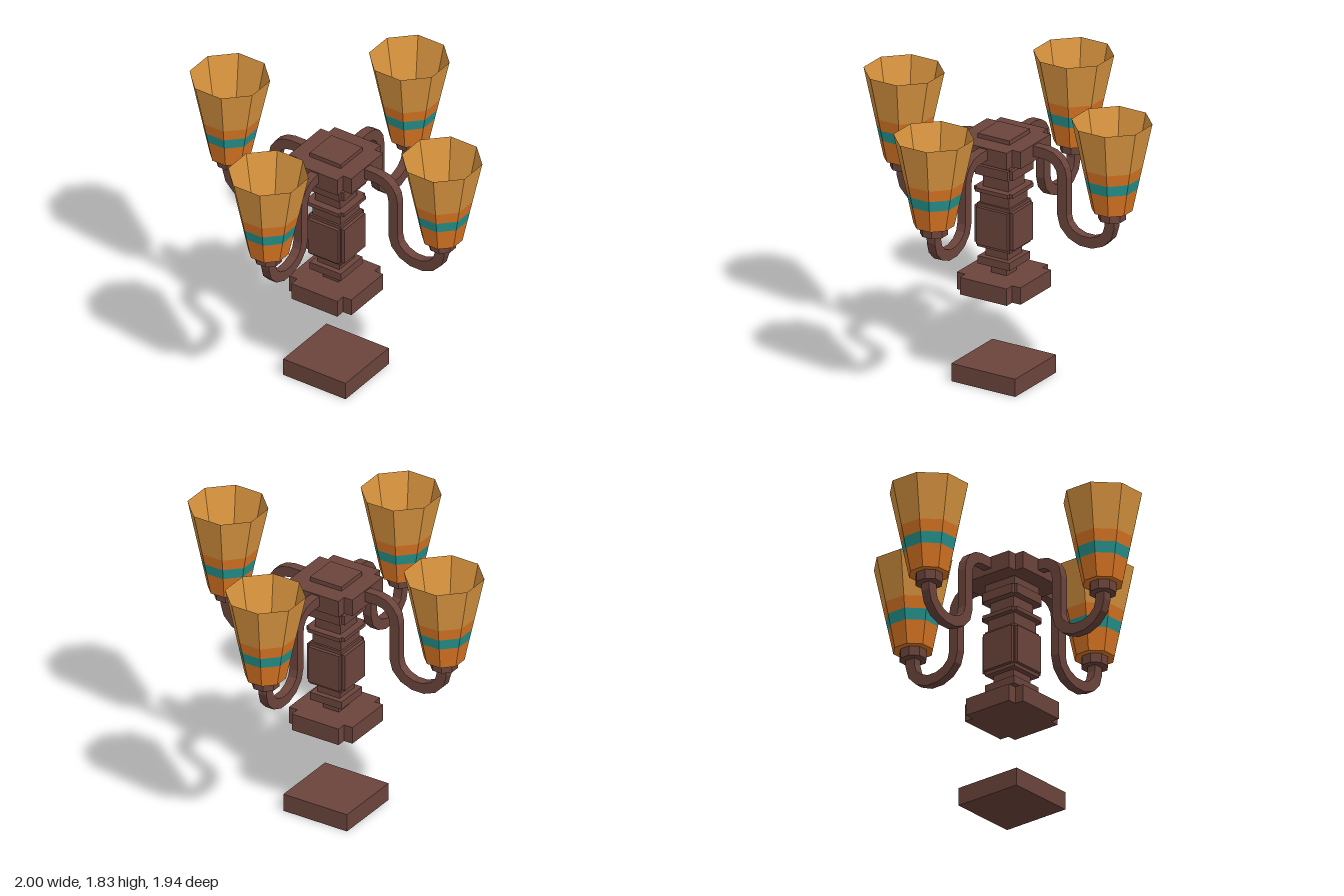
import * as THREE from 'three';

const mat = (name, color) => {
  const m = new THREE.MeshStandardMaterial({ color, flatShading: true, side: THREE.DoubleSide });
  m.name = name;
  return m;
};

export function createModel() {
  const wood = mat('dark brown', 0x6b443c);
  const tan = mat('tan glass', 0xdb9640);
  const orange = mat('orange glass', 0xde7824);
  const teal = mat('teal glass', 0x269690);
  const pale = mat('pale bulb', 0xe0e5da);

  const model = new THREE.Group();
  model.name = 'fourArmLamp';

  const add = (parent, name, geometry, material) => {
    const mesh = new THREE.Mesh(geometry, material);
    mesh.name = name;
    parent.add(mesh);
    return mesh;
  };

  // Square column, stacked from blocks; a second half-width gives notched corners
  const column = new THREE.Group();
  column.name = 'column';
  column.position.z = 0.03;
  model.add(column);
  const block = (name, y0, y1, half, notch) => {
    const sizes = notch ? [[half, notch], [notch, half]] : [[half, half]];
    for (const [hx, hz] of sizes) {
      add(column, name, new THREE.BoxGeometry(2 * hx, y1 - y0, 2 * hz), wood).position.y = (y0 + y1) / 2;
    }
  };
  block('floorPlate', 0, 0.115, 0.227);
  block('foot', 0.577, 0.687, 0.227, 0.167);
  block('footNeck', 0.687, 0.75, 0.056);
  block('lowerCollar', 0.75, 0.8, 0.113);
  block('lowerNeck', 0.8, 0.863, 0.079);
  block('bodyCore', 0.863, 1.147, 0.115);
  block('bodyPanels', 0.885, 1.126, 0.137, 0.11);
  block('upperNeck', 1.147, 1.225, 0.102);
  block('middleCollar', 1.225, 1.25, 0.137, 0.115);
  block('topNeck', 1.25, 1.34, 0.09);
  block('topCollar', 1.34, 1.4, 0.137, 0.115);
  block('hubNeck', 1.4, 1.457, 0.115);
  block('hub', 1.457, 1.567, 0.227, 0.167);
  block('hubCap', 1.567, 1.595, 0.113);

  // S-shaped arm centreline: hub, shoulder, drop, U-bend, rise to holder
  const path = [[0.15, 1.525]];
  for (let i = 0; i <= 4; i++) {
    const a = Math.PI / 2 * (1 - i / 4);
    path.push([0.31 + 0.125 * Math.cos(a), 1.4 + 0.125 * Math.sin(a)]);
  }
  for (let i = 0; i <= 7; i++) {
    const a = Math.PI * (1 + i / 7);
    path.push([0.604 + 0.169 * Math.cos(a), 1.155 + 0.138 * Math.sin(a)]);
  }
  path.push([0.773, 1.21]);

  // Thicken the centreline into an outline and extrude it
  const offset = (d) => path.map(([x, y], i) => {
    const p = path[Math.max(i - 1, 0)];
    const n = path[Math.min(i + 1, path.length - 1)];
    const tx = n[0] - p[0], ty = n[1] - p[1], len = Math.hypot(tx, ty);
    return new THREE.Vector2(x - d * ty / len, y + d * tx / len);
  });
  const armGeometry = new THREE.ExtrudeGeometry(
    new THREE.Shape([...offset(0.034), ...offset(-0.034).reverse()]),
    { depth: 0.058, bevelEnabled: false });
  armGeometry.translate(0, 0, -0.029);

  // Eight-sided tapered ring, flat side forward, sized by distance to its flats
  const ring = (bottom, top, h, open) =>
    new THREE.CylinderGeometry(top / Math.cos(Math.PI / 8), bottom / Math.cos(Math.PI / 8), h, 8, 1, open)
      .rotateY(Math.PI / 8);
  const y0 = 1.26, y1 = 1.83;
  const shadeHalf = (y) => 0.115 + (0.2275 - 0.115) * (y - y0) / (y1 - y0);
  const bands = [
    ['shadeLowerBand', 1.26, 1.405, orange],
    ['shadeStripe', 1.405, 1.475, teal],
    ['shadeMiddleBand', 1.475, 1.55, orange],
    ['shadeUpper', 1.55, 1.83, tan],
  ];

  // Four arms, each with holder, bulb and flared shade
  for (let i = 0; i < 4; i++) {
    const alongX = i % 2 === 0;
    const arm = new THREE.Group();
    arm.name = 'lampArm';
    arm.rotation.y = i * Math.PI / 2;
    arm.position.z = alongX ? 0.03 : 0;
    model.add(arm);

    const lamp = new THREE.Group();
    lamp.name = 'armAndLamp';
    lamp.position.x = alongX ? 0 : -0.033;
    arm.add(lamp);

    add(lamp, 'curvedArm', armGeometry, wood);
    add(lamp, 'holder', ring(0.078, 0.078, 0.06, false), wood).position.set(0.773, 1.23, 0);
    add(lamp, 'shadeFloor', ring(0.115, 0.115, 0.006, false), orange).position.set(0.773, 1.264, 0);
    add(lamp, 'bulb', new THREE.BoxGeometry(0.086, 0.13, 0.086), pale).position.set(0.748, 1.33, 0);
    for (const [name, a, b, material] of bands) {
      add(lamp, name, ring(shadeHalf(a), shadeHalf(b), b - a, true), material)
        .position.set(0.773, (a + b) / 2, 0);
    }
  }
  return model;
}
